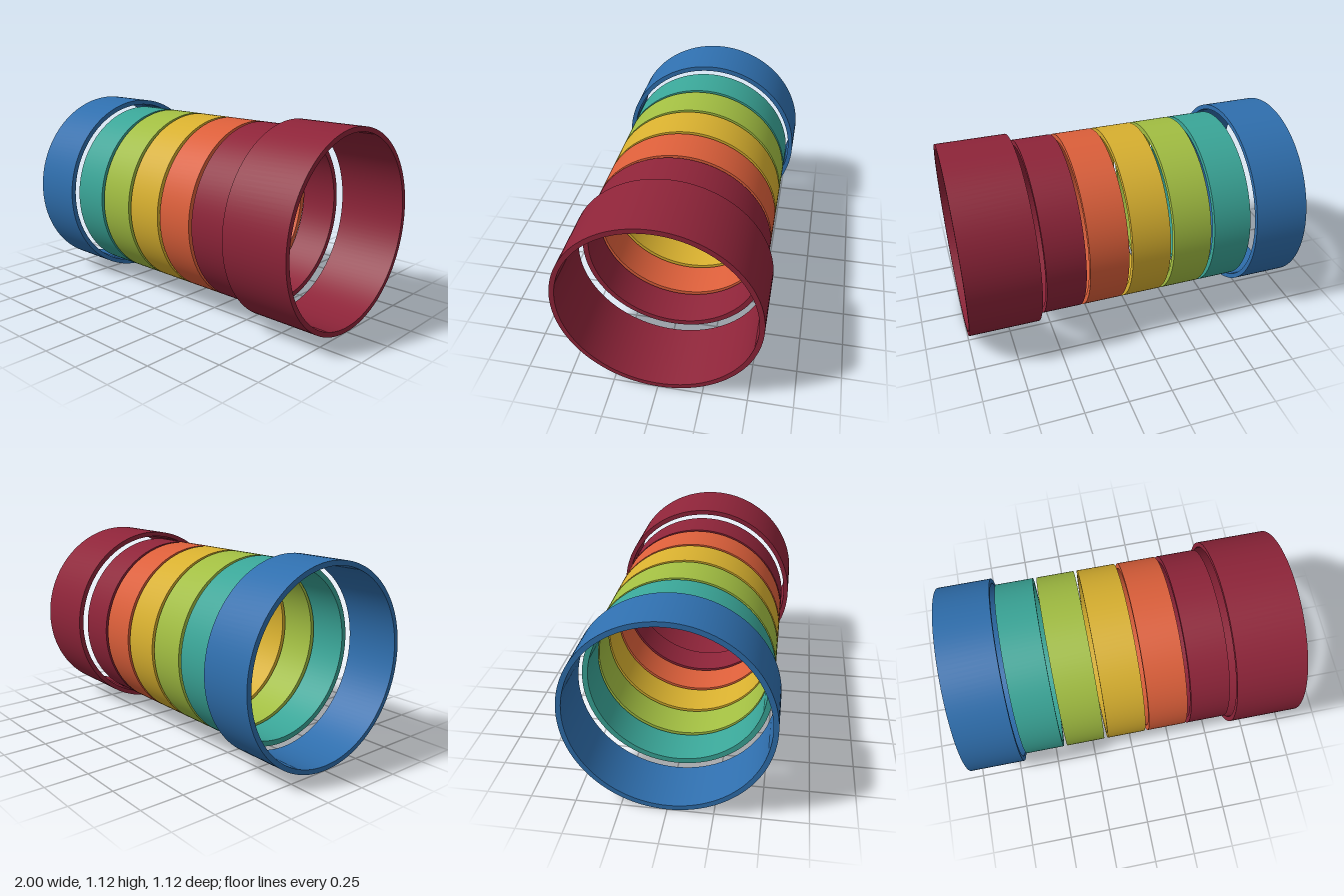
import * as THREE from 'three';
import { mergeGeometries } from 'three/addons/utils/BufferGeometryUtils.js';

const CENTER_Y = 0.562;

function material(name, color) {
  const m = new THREE.MeshStandardMaterial({ color });
  m.name = name;
  return m;
}

// Hollow ring along x: four lathed walls, so curves are smooth and rims sharp
function ringGeometry(outer, inner, width) {
  const h = width / 2;
  const corners = [[outer, -h], [outer, h], [inner, h], [inner, -h]]
    .map(([r, y]) => new THREE.Vector2(r, y));
  const walls = corners.map((p, i) =>
    new THREE.LatheGeometry([p, corners[(i + 1) % 4]], 128));
  return mergeGeometries(walls).rotateZ(-Math.PI / 2);
}

export function createModel() {
  const model = new THREE.Group();
  model.name = 'ringTube';

  const blue = material('blue', 0x2f6fae);
  const teal = material('teal', 0x3aa698);
  const green = material('green', 0xa2be42);
  const gold = material('gold', 0xd8b02f);
  const orange = material('orange', 0xdc5f3a);
  const maroon = material('maroon', 0x8e2439);

  function addRing(name, x0, x1, outer, inner, mat) {
    const mesh = new THREE.Mesh(ringGeometry(outer, inner, x1 - x0), mat);
    mesh.name = name;
    mesh.position.set((x0 + x1) / 2, CENTER_Y, 0);
    model.add(mesh);
  }

  // Wide end collars
  addRing('blueEndCollar', -1, -0.68, 0.562, 0.534, blue);
  addRing('maroonEndCollar', 0.593, 1, 0.562, 0.534, maroon);

  // Evenly spaced middle bands
  [teal, green, gold, orange, maroon].forEach((mat, i) => {
    const x = -0.658 + i * 0.248;
    addRing(mat.name + 'Band', x, x + 0.226, 0.521, 0.49, mat);
  });

  return model;
}
